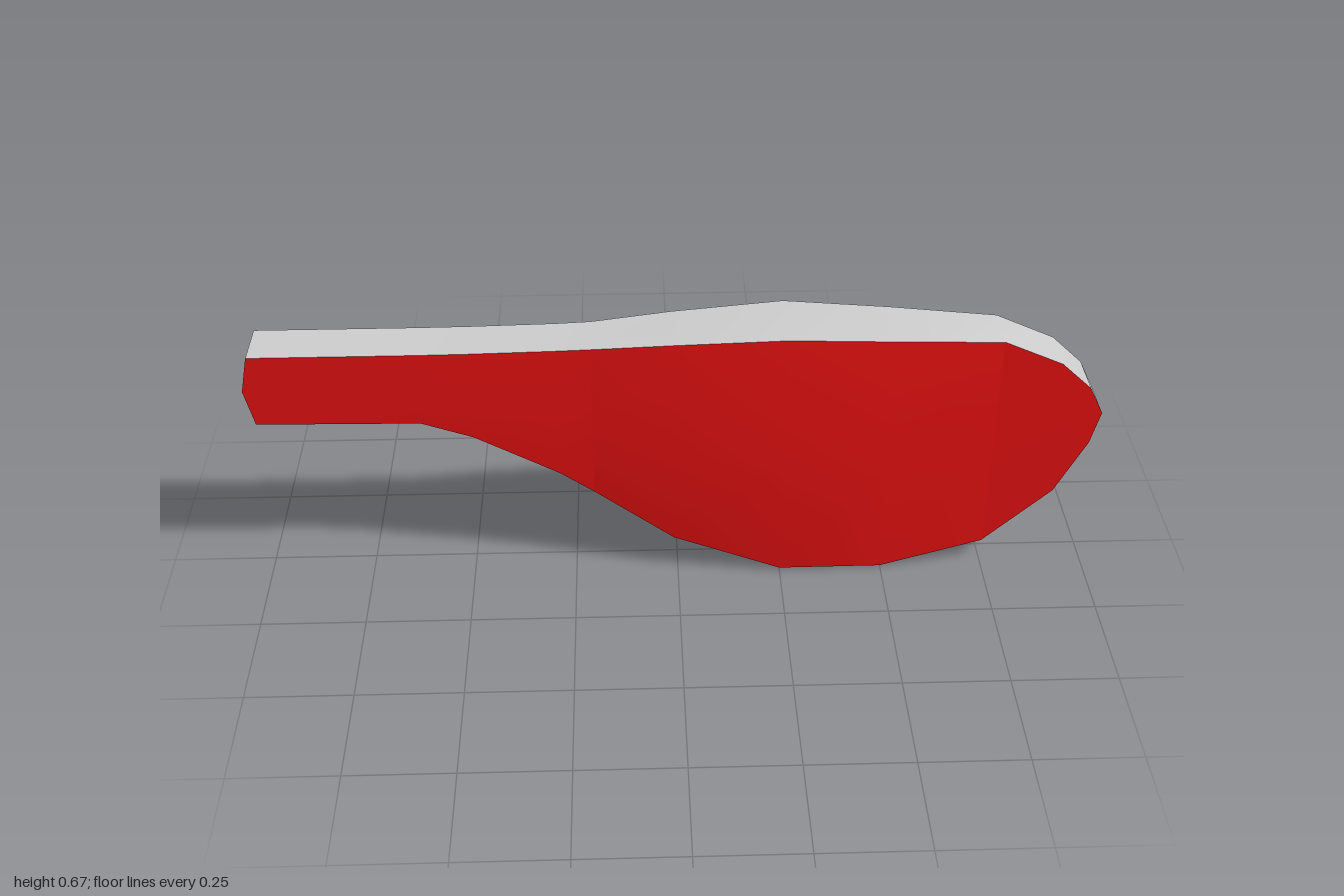
import * as THREE from 'three';
import { toCreasedNormals } from 'three/addons/utils/BufferGeometryUtils.js';

// Cross-sections from grip end to tip:
// [top x, top y, bottom x, bottom y, half thickness at edge, half thickness at middle, middle x]
const SECTIONS = [
  [-0.98, 0.63, -0.98, 0.447, 0.06, 0.06, -1],
  [-0.6, 0.63, -0.6, 0.442, 0.06, 0.062, -0.6],
  [-0.48, 0.631, -0.48, 0.4, 0.06, 0.063, -0.48],
  [-0.28, 0.635, -0.28, 0.29, 0.06, 0.065, -0.28],
  [-0.2, 0.638, -0.2, 0.234, 0.061, 0.067, -0.2],
  [-0.01, 0.654, -0.01, 0.1, 0.075, 0.1, -0.01],
  [0.25, 0.67, 0.25, 0.008, 0.088, 0.125, 0.25],
  [0.5, 0.655, 0.5, 0, 0.077, 0.102, 0.5],
  [0.75, 0.638, 0.75, 0.06, 0.06, 0.063, 0.75],
  [0.89, 0.575, 0.91, 0.21, 0.059, 0.06, 0.9],
  [0.965, 0.505, 0.98, 0.35, 0.058, 0.059, 0.972],
  [1, 0.435, 1, 0.435, 0.058, 0.058, 1],
];

function makeMesh(name, positions, indices, color, crease) {
  let geometry = new THREE.BufferGeometry();
  geometry.setAttribute('position', new THREE.Float32BufferAttribute(positions, 3));
  geometry.setIndex(indices);
  if (crease) geometry = toCreasedNormals(geometry, crease);
  else geometry.computeVertexNormals();
  const mesh = new THREE.Mesh(geometry, new THREE.MeshStandardMaterial({ color }));
  mesh.name = name;
  return mesh;
}

// One painted face over a run of sections; side is +1 for front, -1 for back
function makeFace(name, from, to, side) {
  const positions = [], indices = [];
  const rows = SECTIONS.slice(from, to + 1);
  rows.forEach(([tx, ty, bx, by, edge, mid, mx], i) => {
    positions.push(bx, by, side * edge, mx, (ty + by) / 2, side * mid, tx, ty, side * edge);
    if (i === rows.length - 1) return;
    for (let k = 0; k < 2; k++) {
      const a = i * 3 + k, b = a + 3;
      if (side > 0) indices.push(a, b, b + 1, a, b + 1, a + 1);
      else indices.push(a, b + 1, b, a, a + 1, b + 1);
    }
  });
  return makeMesh(name, positions, indices, 0xe01010);
}

// Grey band running all the way round the outline
function makeRim() {
  const tops = SECTIONS.map((s) => [s[0], s[1], s[4]]);
  const bottoms = SECTIONS.slice(0, -1).reverse().map((s) => [s[2], s[3], s[4]]);
  const first = SECTIONS[0];
  const loop = [...tops, ...bottoms, [first[6], (first[1] + first[3]) / 2, first[5]]];
  const positions = [], indices = [];
  loop.forEach(([x, y, z], i) => {
    positions.push(x, y, z, x, y, -z);
    const a = i * 2, b = ((i + 1) % loop.length) * 2;
    indices.push(a, b, b + 1, a, b + 1, a + 1);
  });
  return makeMesh('rim', positions, indices, 0xcccccc, 0.7);
}

export function createModel() {
  const group = new THREE.Group();
  group.name = 'paddle';
  group.add(makeRim());
  // Handle, swollen belly and flat tip on both sides
  for (const [label, side] of [['front', 1], ['back', -1]]) {
    group.add(makeFace(label + 'Handle', 0, 4, side));
    group.add(makeFace(label + 'Belly', 4, 8, side));
    group.add(makeFace(label + 'Tip', 8, 11, side));
  }
  return group;
}
